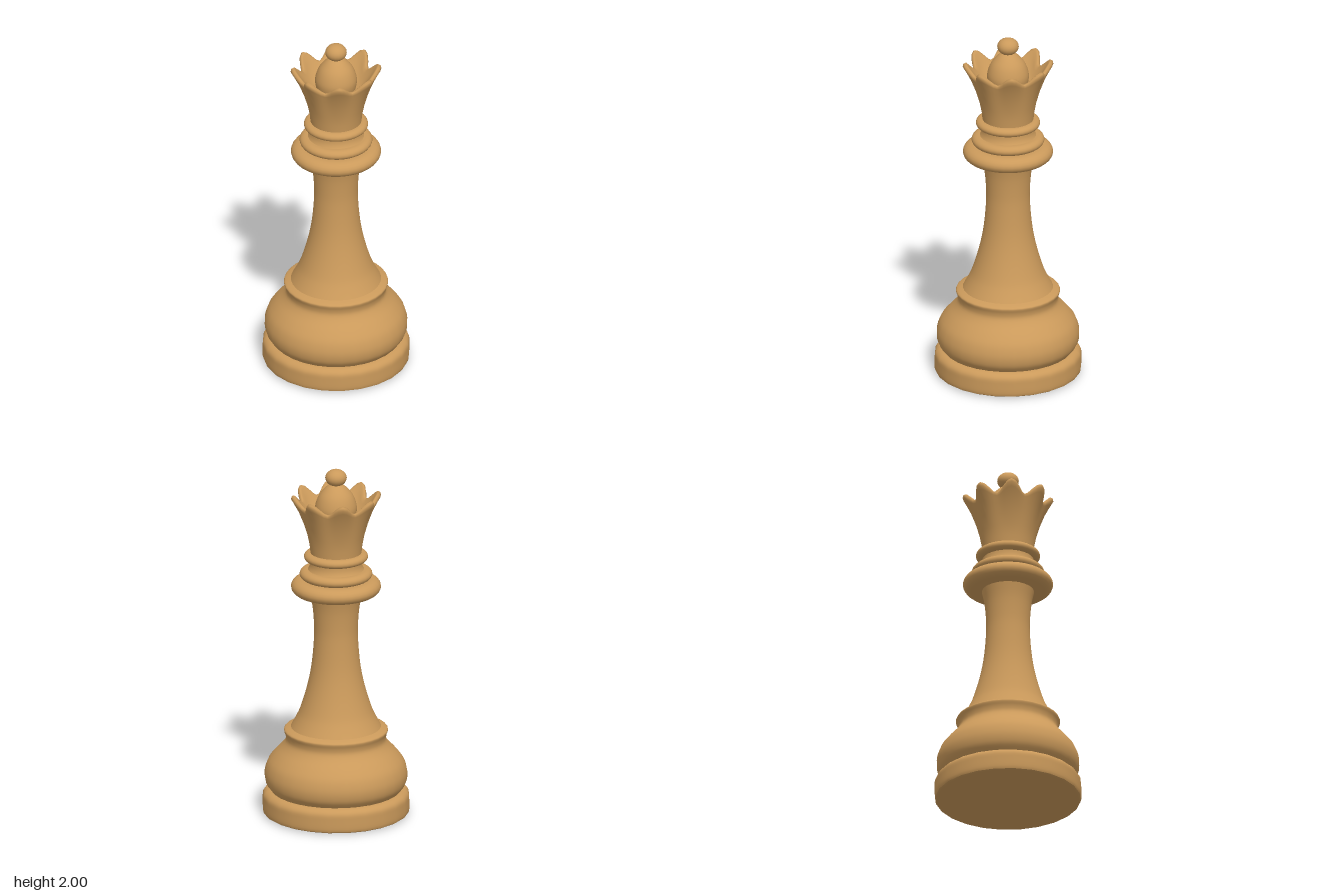
import * as THREE from 'three';
import { mergeVertices } from 'three/addons/utils/BufferGeometryUtils.js';

const wood = new THREE.MeshStandardMaterial({ color: 0xcb9a5b });
wood.name = 'lightWood';

const vectors = (pts) => pts.map(([r, y]) => new THREE.Vector2(r, y));

// Smooth curve through a few [radius, height] points
const smooth = (pts, n) => new THREE.SplineCurve(vectors(pts)).getPoints(n)
  .map((p) => new THREE.Vector2(Math.max(p.x, 0), p.y));

function turned(name, points, sides = 24) {
  const mesh = new THREE.Mesh(new THREE.LatheGeometry(points, sides), wood);
  mesh.name = name;
  return mesh;
}

// Rounded ring with an elliptical section, reaching in to the stem
function ring(name, outer, inner, y, halfHeight) {
  const depth = Math.min(outer - inner, halfHeight * 1.3);
  const pts = [[inner, y - halfHeight]];
  for (let i = 0; i <= 10; i++) {
    const a = -Math.PI / 2 + (Math.PI * i) / 10;
    pts.push([outer - depth + depth * Math.cos(a), y + halfHeight * Math.sin(a)]);
  }
  pts.push([inner, y + halfHeight]);
  return turned(name, vectors(pts), 32);
}

// Flared cup whose rim rises into eight rounded points
function crown() {
  // Each row: radius and height in the valleys, then at the points
  const rows = [
    [0.140, 1.500, 0.140, 1.500],
    [0.146, 1.560, 0.146, 1.560],
    [0.157, 1.620, 0.158, 1.620],
    [0.172, 1.680, 0.180, 1.690],
    [0.188, 1.735, 0.208, 1.760],
    [0.202, 1.775, 0.238, 1.815],
    [0.205, 1.787, 0.252, 1.838],
    [0.200, 1.794, 0.250, 1.855],
    [0.192, 1.795, 0.238, 1.862],
    [0.182, 1.788, 0.224, 1.850],
    [0.168, 1.772, 0.200, 1.808],
    [0.150, 1.750, 0.165, 1.765],
    [0.125, 1.730, 0.130, 1.735],
    [0.080, 1.725, 0.080, 1.725],
  ];
  const sides = 64;
  let geo = new THREE.LatheGeometry(vectors(rows), sides);
  const pos = geo.attributes.position;
  for (let i = 0; i < pos.count; i++) {
    const [r0, y0, r1, y1] = rows[i % rows.length];
    const a = (Math.floor(i / rows.length) % sides) / sides * Math.PI * 2;
    const t = (1 + Math.cos(8 * a)) / 2;
    const r = r0 + (r1 - r0) * t;
    pos.setXYZ(i, r * Math.sin(a), y0 + (y1 - y0) * t, r * Math.cos(a));
  }
  // Weld the seam so shading stays smooth all round
  geo.deleteAttribute('uv');
  geo.deleteAttribute('normal');
  geo = mergeVertices(geo);
  geo.computeVertexNormals();
  const mesh = new THREE.Mesh(geo, wood);
  mesh.name = 'crown';
  return mesh;
}

export function createModel() {
  const model = new THREE.Group();
  model.name = 'chessQueen';

  // Foot: flat underside and a rounded disc
  model.add(turned('underside', vectors([[0, 0], [0.392, 0.005], [0.404, 0.012]])));
  model.add(turned('footDisc', smooth([
    [0.404, 0.012], [0.408, 0.03], [0.408, 0.075], [0.406, 0.11],
    [0.392, 0.13], [0.37, 0.14], [0.34, 0.142],
  ], 18)));

  // Bulging lower body
  model.add(turned('lowerBody', smooth([
    [0.352, 0.13], [0.368, 0.15], [0.388, 0.18], [0.396, 0.22], [0.392, 0.26],
    [0.375, 0.305], [0.34, 0.35], [0.3, 0.392], [0.279, 0.425],
    [0.28, 0.455], [0.288, 0.478], [0.286, 0.489], [0.27, 0.497], [0.245, 0.505],
  ], 40), 32));

  // Tapering stem
  model.add(turned('stem', smooth([
    [0.255, 0.495], [0.225, 0.55], [0.2, 0.605], [0.17, 0.7], [0.146, 0.8],
    [0.131, 0.9], [0.122, 1.02], [0.122, 1.1], [0.13, 1.2], [0.146, 1.28],
  ], 30), 32));

  // Collar of stacked rings with a short neck
  model.add(ring('wideCollar', 0.25, 0.12, 1.32, 0.045));
  model.add(ring('middleCollar', 0.202, 0.12, 1.393, 0.028));
  model.add(turned('neck', smooth([
    [0.17, 1.405], [0.153, 1.425], [0.143, 1.455], [0.142, 1.51],
  ], 10), 32));
  model.add(ring('upperCollar', 0.178, 0.12, 1.494, 0.025));

  // Crown with a dome and finial inside
  model.add(crown());
  model.add(turned('dome', smooth([
    [0.105, 1.71], [0.116, 1.765], [0.112, 1.805], [0.095, 1.85],
    [0.068, 1.885], [0.038, 1.91], [0, 1.925],
  ], 18), 32));

  const finial = new THREE.Mesh(new THREE.SphereGeometry(0.06, 20, 14), wood);
  finial.name = 'finial';
  finial.scale.y = 0.8;
  finial.position.y = 1.952;
  model.add(finial);

  return model;
}
